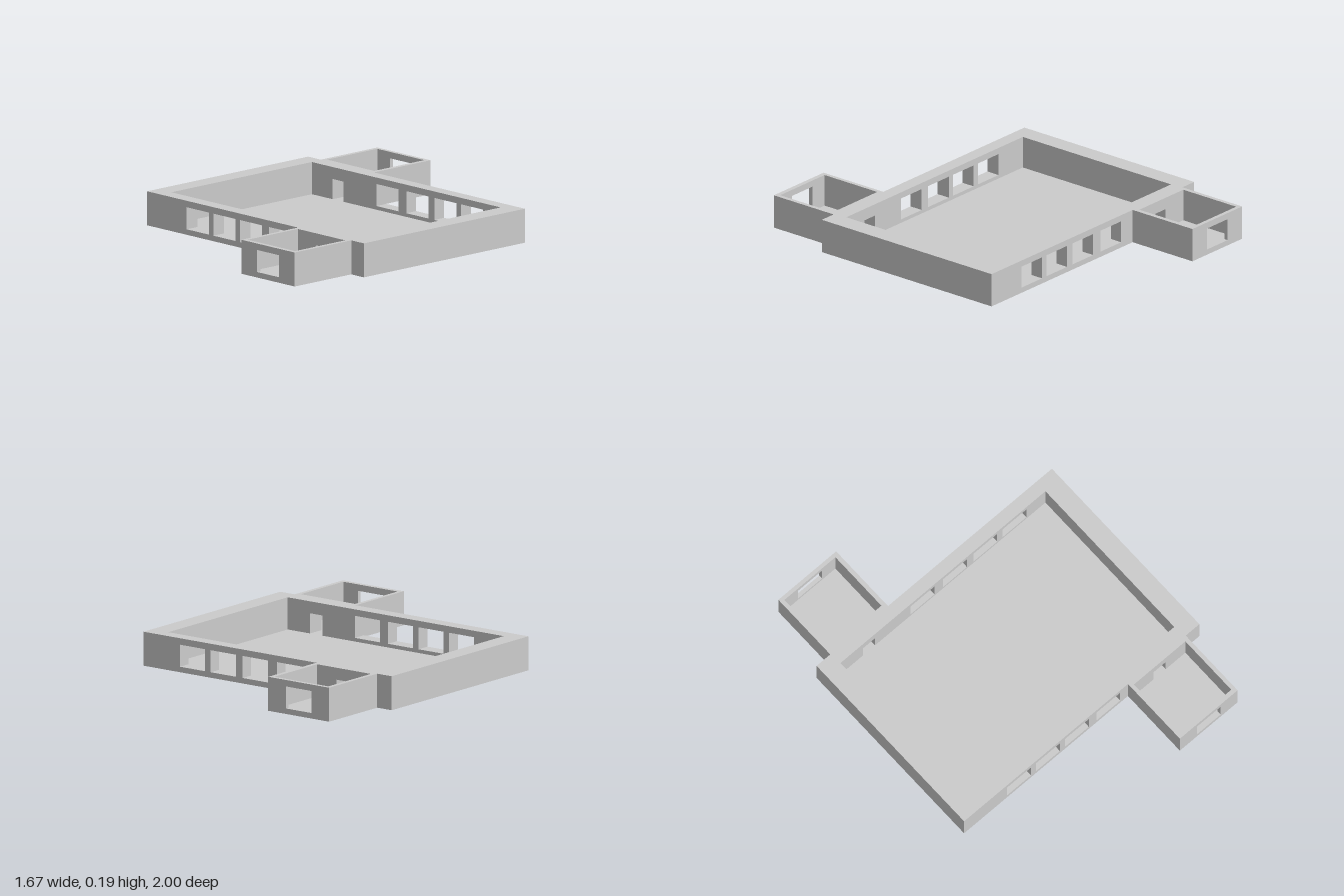
import * as THREE from 'three';

const HEIGHT = 0.185;
const FLOOR = 0.01;
const material = new THREE.MeshStandardMaterial({ color: 0xcccccc, flatShading: true });

function addMesh(parent, name, geometry) {
  const mesh = new THREE.Mesh(geometry, material);
  mesh.name = name;
  parent.add(mesh);
}

function addBox(parent, name, x0, x1, y0, y1, z0, z1) {
  const geometry = new THREE.BoxGeometry(x1 - x0, y1 - y0, z1 - z0);
  geometry.translate((x0 + x1) / 2, (y0 + y1) / 2, (z0 + z1) / 2);
  addMesh(parent, name, geometry);
}

const rectangle = (path, x0, x1, y0, y1) =>
  path.moveTo(x0, y0).lineTo(x1, y0).lineTo(x1, y1).lineTo(x0, y1).closePath();

// Wall along x between z0 and z1, pierced by openings [x0, x1, y0, y1]
function addWall(parent, name, x0, x1, z0, z1, openings) {
  const shape = rectangle(new THREE.Shape(), x0, x1, 0, HEIGHT);
  for (const opening of openings) shape.holes.push(rectangle(new THREE.Path(), ...opening));
  const geometry = new THREE.ExtrudeGeometry(shape, { depth: z1 - z0, bevelEnabled: false });
  geometry.translate(0, 0, z0);
  addMesh(parent, name, geometry);
}

// Roofless room: [x0, x1, z0, z1] outside and inside, with openings in front and back
function addRoom(parent, name, outer, inner, frontOpenings, backOpenings) {
  const room = new THREE.Group();
  room.name = name;
  const [ox0, ox1, oz0, oz1] = outer;
  const [ix0, ix1, iz0, iz1] = inner;
  addWall(room, 'frontWall', ox0, ox1, iz1, oz1, frontOpenings);
  addWall(room, 'backWall', ox0, ox1, oz0, iz0, backOpenings);
  addBox(room, 'rightWall', ox0, ix0, 0, HEIGHT, iz0, iz1);
  addBox(room, 'leftWall', ix1, ox1, 0, HEIGHT, iz0, iz1);
  addBox(room, 'floor', ix0, ix1, 0, FLOOR, iz0, iz1);
  parent.add(room);
}

const windowAt = (x) => [x, x + 0.17, 0.03, 0.15];
const doorAt = (x) => [x, x + 0.085, FLOOR, 0.12];

export function createModel() {
  const model = new THREE.Group();
  model.name = 'building';
  const frontDoor = doorAt(0.49);
  const backDoor = doorAt(-0.57);

  // Main hall with four windows and a door on each long side
  addRoom(model, 'mainHall',
    [-0.835, 0.835, -0.587, 0.587], [-0.73, 0.725, -0.515, 0.51],
    [...[-0.53, -0.325, -0.12, 0.103].map(windowAt), frontDoor],
    [...[-0.233, -0.002, 0.213, 0.42].map(windowAt), backDoor]);

  // Entrance rooms on opposite corners, opening into the hall
  addRoom(model, 'frontEntrance',
    [0.328, 0.738, 0.587, 1], [0.35, 0.715, 0.61, 0.975],
    [windowAt(0.448)], [frontDoor]);
  addRoom(model, 'backEntrance',
    [-0.738, -0.328, -1, -0.587], [-0.715, -0.353, -0.978, -0.612],
    [backDoor], [windowAt(-0.618)]);

  return model;
}
